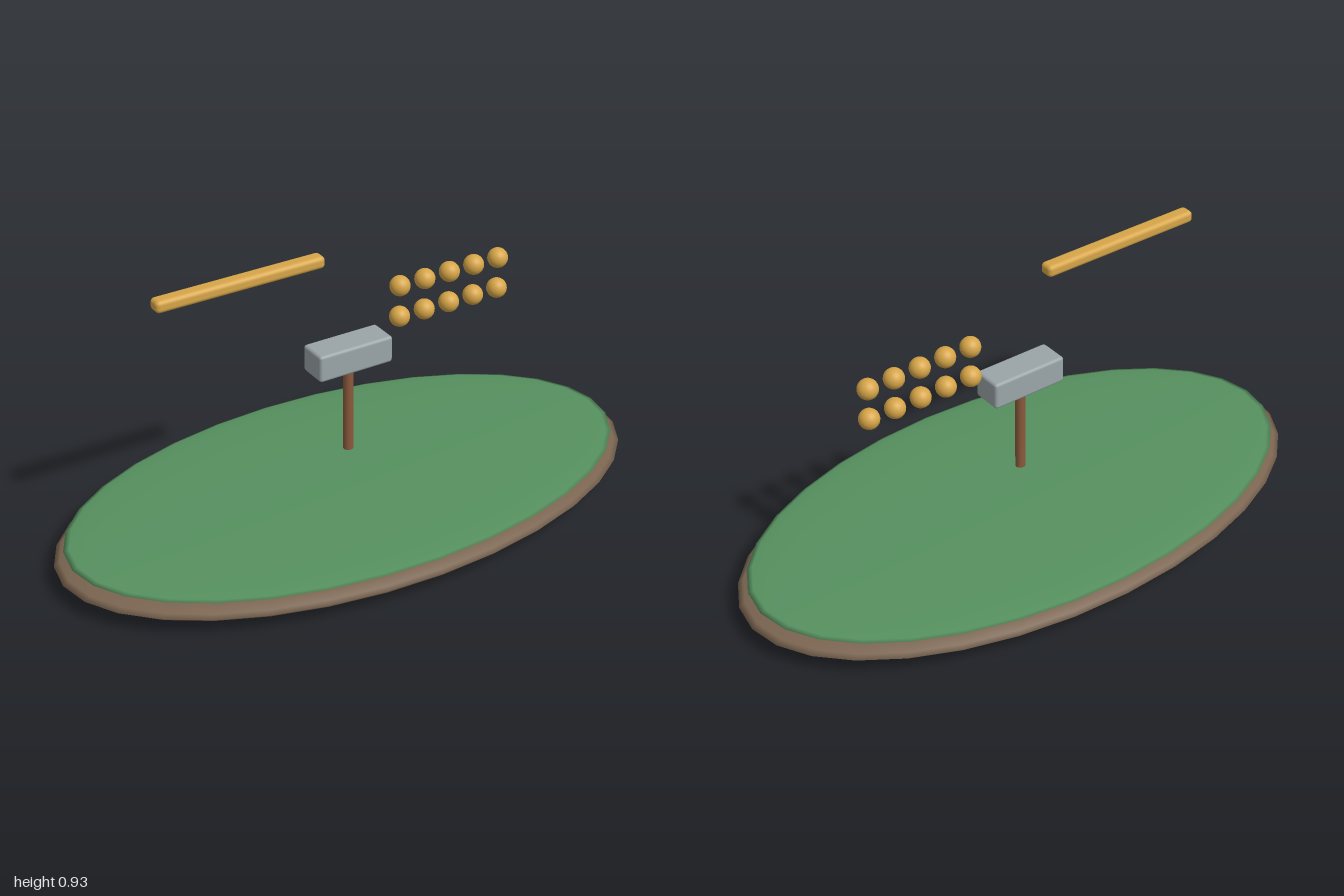
import * as THREE from 'three';
import { RoundedBoxGeometry } from 'three/addons/geometries/RoundedBoxGeometry.js';

const material = (color) => new THREE.MeshStandardMaterial({ color });

export function createModel() {
  const model = new THREE.Group();
  const earth = material(0x7a6450);
  const grass = material(0x56905f);
  const wood = material(0x8a5a3c);
  const steel = material(0x9aa5a8);
  const gold = material(0xd6a548);

  const add = (name, geometry, mat, x, y, z = 0, parent = model) => {
    const mesh = new THREE.Mesh(geometry, mat);
    mesh.name = name;
    mesh.position.set(x, y, z);
    parent.add(mesh);
    return mesh;
  };

  // Island: two flattened ellipsoids, grass resting on earth
  const disc = new THREE.SphereGeometry(1, 32, 16);
  add('earthBase', disc, earth, 0, 0.061).scale.set(1, 0.061, 0.545);
  add('grassTop', disc, grass, 0, 0.105).scale.set(0.967, 0.019, 0.527);

  // Hammer floating upright above the grass
  const hammer = new THREE.Group();
  hammer.name = 'hammer';
  model.add(hammer);
  add('hammerHandle', new THREE.CylinderGeometry(0.0165, 0.0165, 0.32, 16), wood, 0, 0.382, 0, hammer);
  add('hammerHead', new RoundedBoxGeometry(0.262, 0.09, 0.102, 2, 0.01), steel, 0, 0.561, 0, hammer);

  // Long rounded bar
  add('bar', new RoundedBoxGeometry(0.566, 0.04, 0.049, 3, 0.014), gold, -0.375, 0.906);

  // Two rows of five beads
  const beads = new THREE.Group();
  beads.name = 'beads';
  model.add(beads);
  const bead = new THREE.SphereGeometry(0.033, 24, 16);
  for (const y of [0.637, 0.743]) {
    for (let i = 0; i < 5; i++) add('bead', bead, gold, 0.187 + i * 0.0918, y, 0, beads);
  }
  return model;
}
